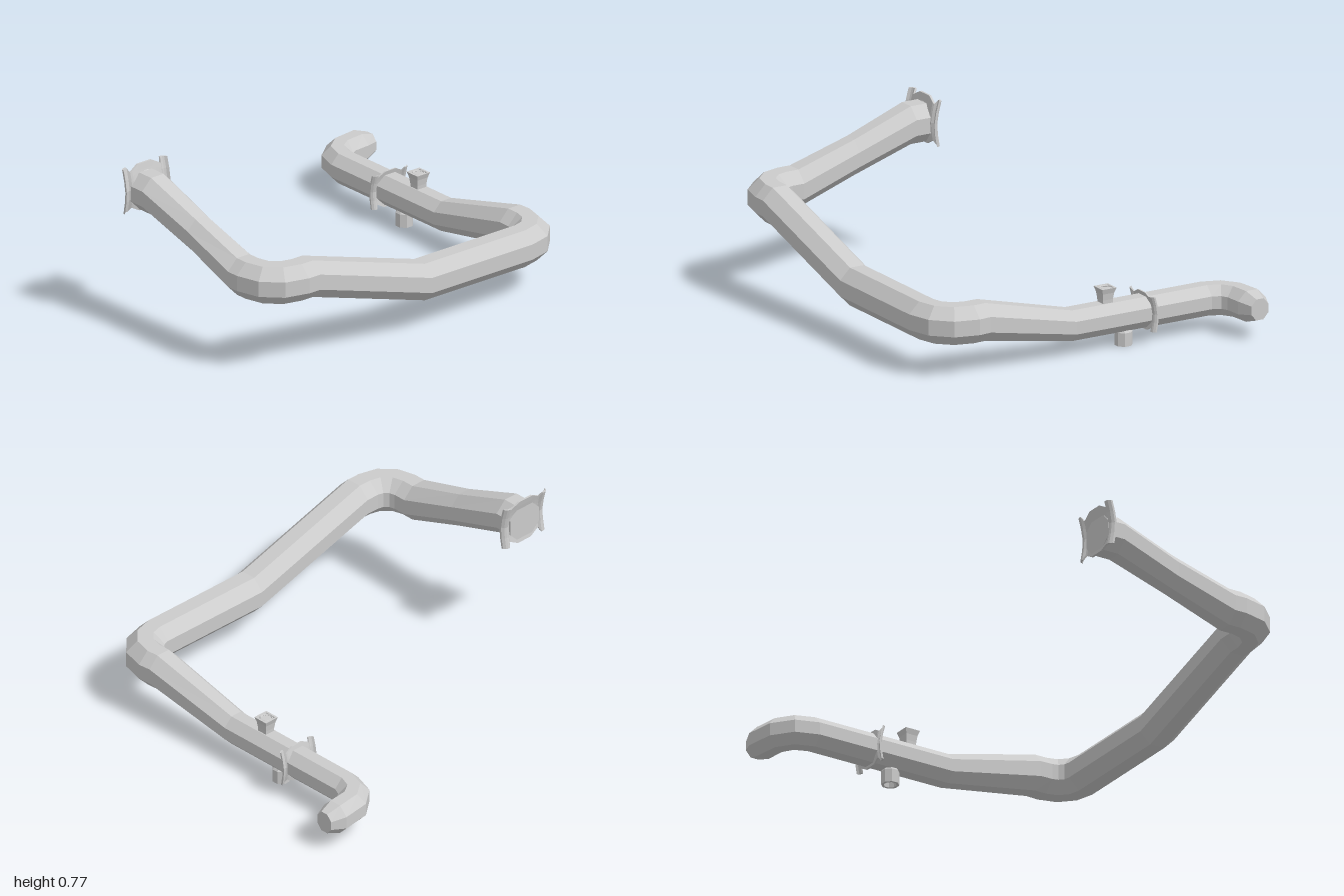
import * as THREE from 'three';

const material = new THREE.MeshStandardMaterial({ color: 0xcccccc, flatShading: true, side: THREE.DoubleSide });

function add(parent, geometry, name, x = 0, y = 0, z = 0) {
  const mesh = new THREE.Mesh(geometry, material);
  mesh.name = name;
  mesh.position.set(x, y, z);
  parent.add(mesh);
  return mesh;
}

// Linear interpolation through [position, value] pairs
function ramp(points, t) {
  for (let i = 1; i < points.length; i++) {
    const [a, va] = points[i - 1], [b, vb] = points[i];
    if (t <= b) return va + (vb - va) * Math.max(0, (t - a) / (b - a));
  }
  return points[points.length - 1][1];
}

// Octagonal duct: upright rings [x, y, z, heading in degrees from +z, half width, half height]
function ductGeometry(stations) {
  const pos = [], index = [], n = 8;
  for (const [x, y, z, deg, w, h] of stations) {
    const a = THREE.MathUtils.degToRad(deg);
    for (let j = 0; j < n; j++) {
      const t = ((j + 0.5) / n) * Math.PI * 2, k = 1 / Math.cos(Math.PI / n);
      const s = Math.cos(t) * w * k;
      pos.push(x - Math.cos(a) * s, y + Math.sin(t) * h * k, z + Math.sin(a) * s);
    }
  }
  const last = (stations.length - 1) * n;
  for (let i = 0; i < last; i += n) {
    for (let j = 0; j < n; j++) {
      const k = (j + 1) % n;
      index.push(i + j, i + n + j, i + n + k, i + j, i + n + k, i + k);
    }
  }
  for (let j = 1; j < n - 1; j++) {
    index.push(0, j, j + 1, last, last + j + 1, last + j);
  }
  const g = new THREE.BufferGeometry();
  g.setAttribute('position', new THREE.Float32BufferAttribute(pos, 3));
  g.setIndex(index);
  const flat = g.toNonIndexed();
  flat.computeVertexNormals();
  return flat;
}

// Quarter bend, turning from heading `from` by `turn` degrees about a centre
function bend(cx, y, cz, r, from, turn, w) {
  const out = [];
  for (let i = 0; i <= 3; i++) {
    const deg = from + (turn * i) / 3, a = THREE.MathUtils.degToRad(deg);
    const side = -Math.sign(turn);
    out.push([cx + side * Math.cos(a) * r, y, cz - side * Math.sin(a) * r, deg, w, w]);
  }
  return out;
}

// Bowed mounting plate with curled side strips and a round grille, facing +z
function grillePlate(name) {
  const group = new THREE.Group();
  group.name = name;
  const bow = y => ramp([[-0.11, 0.014], [-0.055, 0.004], [0, 0], [0.055, 0.009], [0.11, 0.024]], y);
  const curl = x => ramp([[0, -0.012], [0.08, -0.012], [0.09, -0.009], [0.1, 0],
    [0.11, 0], [0.12, -0.004], [0.13, -0.015]], Math.abs(x));
  const height = x => ramp([[0, 0.112], [0.04, 0.112], [0.09, 0.085], [0.1, 0.106], [0.13, 0.106]], Math.abs(x));
  const plate = new THREE.BoxGeometry(0.26, 2, 0.01, 26, 8, 1);
  const p = plate.attributes.position;
  for (let i = 0; i < p.count; i++) {
    const x = p.getX(i), y = p.getY(i) * height(x);
    p.setXYZ(i, x, y, p.getZ(i) - 0.005 + bow(y) + curl(x));
  }
  plate.computeVertexNormals();
  add(group, plate, 'curledPlate');
  add(group, new THREE.TorusGeometry(0.072, 0.007, 4, 16), 'grilleRim', 0, 0, -0.008);
  for (let i = -4; i <= 4; i++) {
    const x = i * 0.014, length = 2 * Math.sqrt(0.07 ** 2 - x * x);
    add(group, new THREE.BoxGeometry(0.006, length, 0.012), 'grilleBar', x, 0, -0.008);
  }
  return group;
}

export function createModel() {
  const model = new THREE.Group();

  // Main duct, from the high grille end to the low tapered end
  add(model, ductGeometry([
    [-0.875, 0.645, -0.14, 0, 0.09, 0.09],
    [-0.875, 0.645, -0.05, 0, 0.09, 0.09],
    [-0.87, 0.543, 0.25, 0, 0.079, 0.084],
    [-0.873, 0.445, 0.55, 0, 0.09, 0.09],
    ...bend(-0.73, 0.445, 0.612, 0.143, 0, 90, 0.09),
    [-0.665, 0.445, 0.755, 90, 0.09, 0.09],
    [0, 0.245, 0.755, 90, 0.09, 0.09],
    ...bend(0.595, 0.245, 0.612, 0.143, 90, 90, 0.09),
    [0.736, 0.245, 0.55, 180, 0.086, 0.09],
    [0.73, 0.145, 0.08, 180, 0.073, 0.073],
    [0.73, 0.145, -0.64, 180, 0.073, 0.073],
    [0.757, 0.145, -0.715, 150, 0.073, 0.073],
    [0.82, 0.145, -0.76, 115, 0.073, 0.073],
    [0.93, 0.145, -0.773, 90, 0.073, 0.073],
    [1, 0.145, -0.773, 90, 0.045, 0.05],
  ]), 'duct');

  // Grille at the high end, and a smaller collar around the low run
  const grille = grillePlate('endGrille');
  grille.position.set(-0.87, 0.66, -0.141);
  grille.rotation.y = Math.PI;
  model.add(grille);
  const collar = grillePlate('pipeCollar');
  collar.position.set(0.73, 0.149, -0.318);
  collar.scale.setScalar(0.79);
  model.add(collar);

  // Square flared funnel on top of the low run
  const funnel = new THREE.Group();
  funnel.name = 'funnel';
  funnel.position.set(0.73, 0, -0.115);
  model.add(funnel);
  const square = [[0.025, 0.21], [0.026, 0.235], [0.03, 0.265], [0.038, 0.29], [0.028, 0.29]]
    .map(([r, y]) => new THREE.Vector2(r * Math.SQRT2, y));
  const body = add(funnel, new THREE.LatheGeometry(square, 4), 'flaredBody');
  body.rotation.y = Math.PI / 4;
  add(funnel, new THREE.CylinderGeometry(0.028, 0.028, 0.008, 12), 'funnelMouth', 0, 0.28, 0);
  const rim = add(funnel, new THREE.TorusGeometry(0.027, 0.004, 4, 12), 'funnelRim', 0, 0.286, 0);
  rim.rotation.x = Math.PI / 2;

  // Hollow drain stub underneath
  const stub = [[0.026, 0.03], [0.03, 0], [0.042, 0], [0.042, 0.064], [0.03, 0.08]]
    .map(([r, y]) => new THREE.Vector2(r, y));
  const drain = add(model, new THREE.LatheGeometry(stub, 8), 'drainStub', 0.73, 0, -0.213);
  drain.rotation.y = Math.PI / 8;
  const floor = add(model, new THREE.CircleGeometry(0.027, 8), 'drainFloor', 0.73, 0.03, -0.213);
  floor.rotation.x = Math.PI / 2;

  return model;
}
